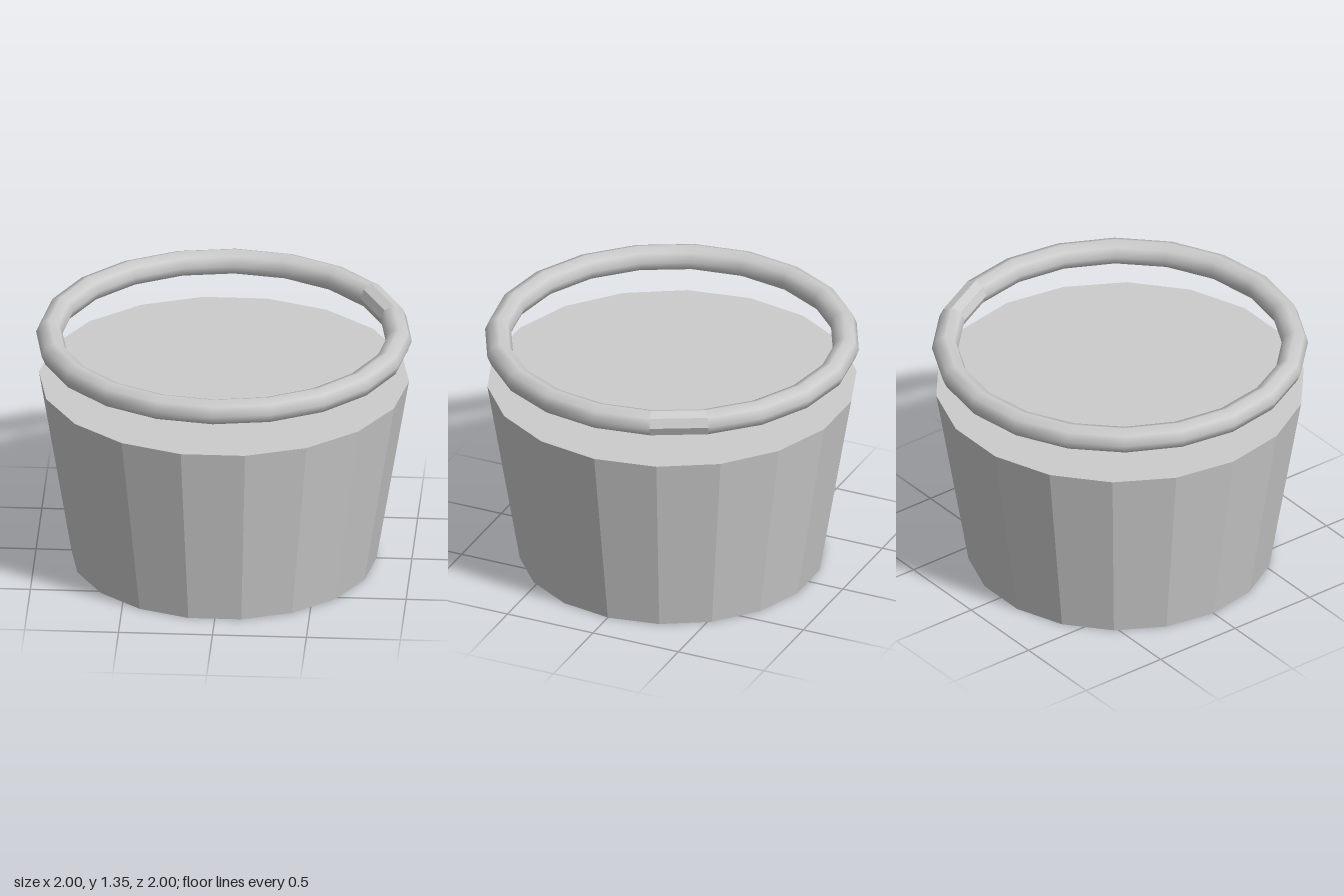
import * as THREE from 'three';

const RING_SIDES = 20;
const STEP = (Math.PI * 2) / RING_SIDES;

// Give every face its own flat normal
function faceted(geometry) {
  const flat = geometry.toNonIndexed();
  flat.computeVertexNormals();
  return flat;
}

// Horizontal piece of the ring, running from one ring corner over a number of sides
function ringPiece(firstSide, sides) {
  return new THREE.TorusGeometry(0.93, 0.07, 8, sides, sides * STEP)
    .rotateZ(firstSide * STEP)
    .rotateX(-Math.PI / 2)
    .translate(0, 1.28, 0);
}

export function createModel() {
  const model = new THREE.Group();
  const grey = new THREE.MeshStandardMaterial({ color: 0xcccccc });
  grey.name = 'light grey';

  const add = (name, geometry) => {
    const mesh = new THREE.Mesh(geometry, grey);
    mesh.name = name;
    model.add(mesh);
  };

  // Closed tapered tub with a corner on the x axis
  const tub = new THREE.CylinderGeometry(0.985, 0.812, 1.045, 18, 1, false, Math.PI / 18);
  add('tub', faceted(tub.translate(0, 1.045 / 2, 0)));

  // Smooth floating ring; its shading normals point into the tube
  const ring = ringPiece(2, RING_SIDES - 1);
  const normals = ring.attributes.normal;
  for (let i = 0; i < normals.array.length; i++) normals.array[i] *= -1;
  add('ring', ring);

  // Faceted joint that closes the ring
  add('ringJoint', faceted(ringPiece(1, 1)));

  return model;
}
